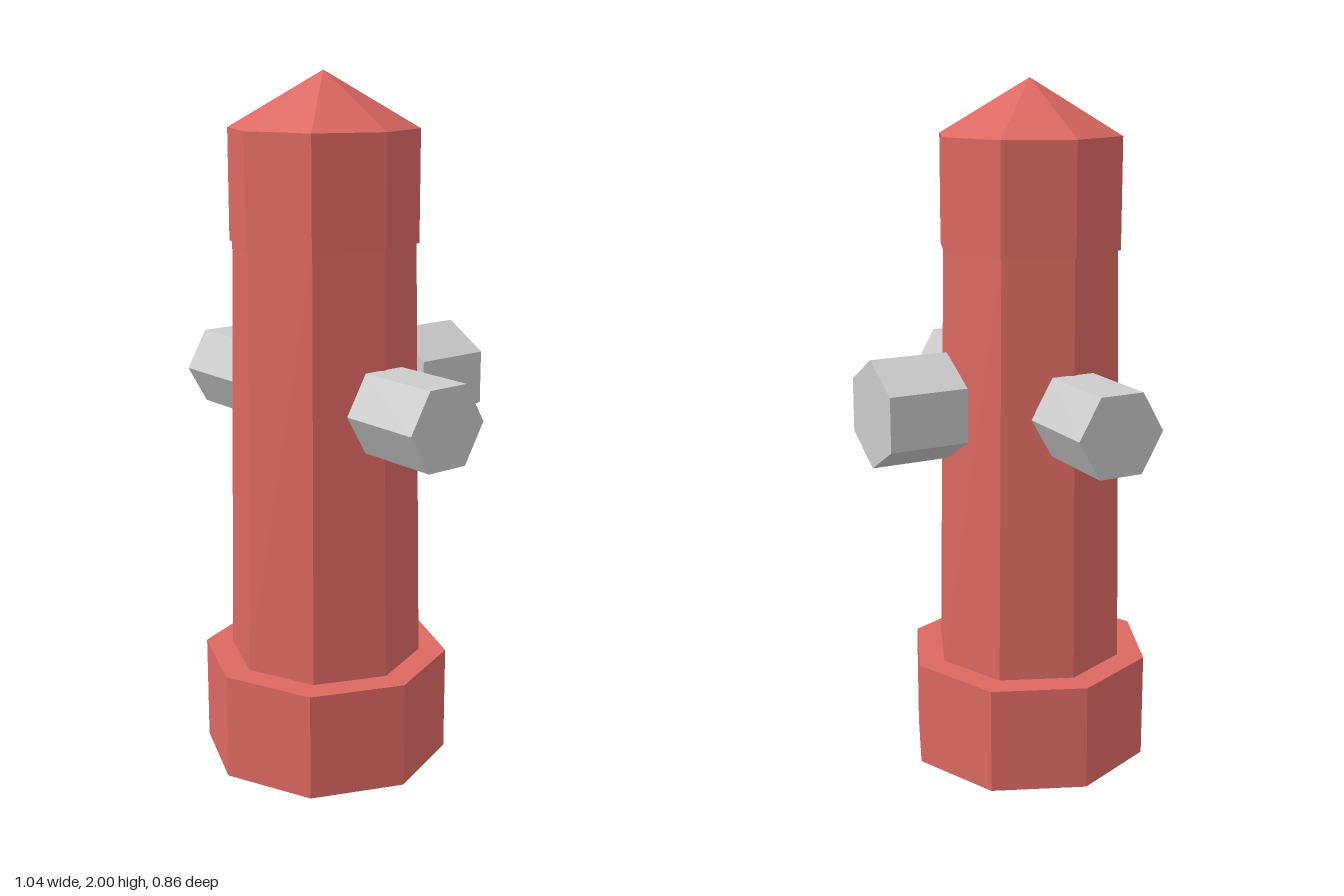
import * as THREE from 'three';

const red = new THREE.MeshStandardMaterial({ color: 0xdd6862, flatShading: true });
const grey = new THREE.MeshStandardMaterial({ color: 0xcccccc, flatShading: true });
const AXIS_Z = 0.066; // the barrel sits forward to balance the rear outlet

export function createModel() {
  const group = new THREE.Group();

  const add = (name, geometry, material, x, y, z) => {
    const mesh = new THREE.Mesh(geometry, material);
    mesh.name = name;
    mesh.position.set(x, y, z);
    group.add(mesh);
    return mesh;
  };

  // Eight-sided barrel sections: name, top radius, bottom radius, bottom y, top y
  const sections = [
    ['base', 0.362, 0.362, 0, 0.312],
    ['barrel', 0.26, 0.282, 0.312, 1.532],
    ['collar', 0.268, 0.268, 1.532, 1.845],
  ];
  for (const [name, top, bottom, y0, y1] of sections) {
    add(name, new THREE.CylinderGeometry(top, bottom, y1 - y0, 8), red, 0, (y0 + y1) / 2, AXIS_Z);
  }

  // Pointed roof
  add('roof', new THREE.ConeGeometry(0.268, 0.155, 8), red, 0, 1.9225, AXIS_Z);

  // Pair of hexagonal side outlets, flat on top
  for (const side of [1, -1]) {
    const outlet = add(side > 0 ? 'leftOutlet' : 'rightOutlet',
      new THREE.CylinderGeometry(0.129, 0.129, 0.258, 6), grey, side * 0.389, 1.096, AXIS_Z - 0.002);
    outlet.rotation.z = -side * Math.PI / 2;
  }

  // Larger rear outlet, corner on top
  const rear = add('rearOutlet', new THREE.CylinderGeometry(0.155, 0.155, 0.232, 6), grey, 0, 1.095, -0.313);
  rear.rotation.x = -Math.PI / 2;

  return group;
}
